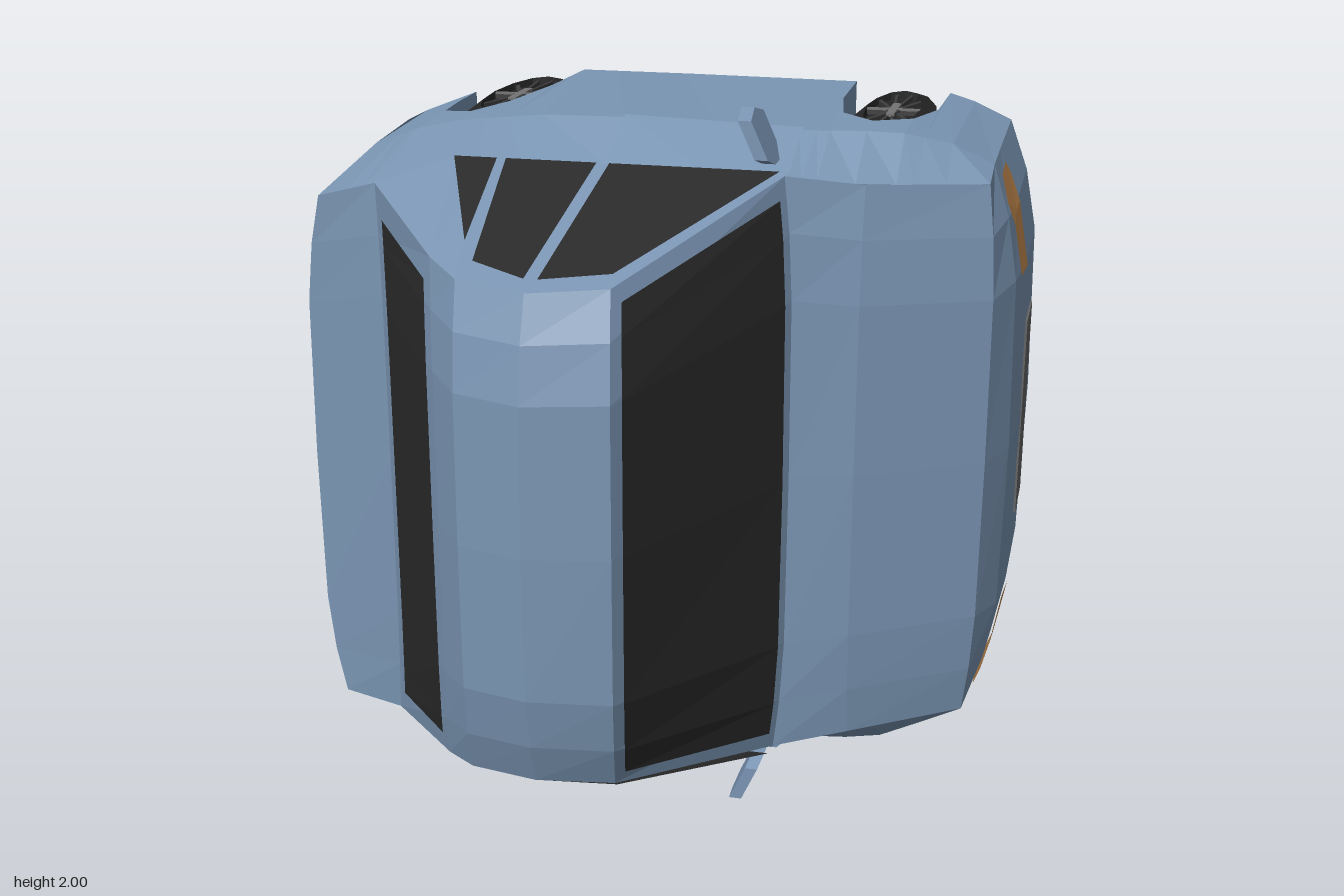
import * as THREE from 'three';

const mat = (name, color) => {
  const m = new THREE.MeshStandardMaterial({ color, flatShading: true, side: THREE.DoubleSide });
  m.name = name;
  return m;
};

// piecewise linear lookup in rows [x, a, b...] with falling x
function lookup(keys, x) {
  let i = 0;
  while (i < keys.length - 2 && x < keys[i + 1][0]) i++;
  const [a, b] = [keys[i], keys[i + 1]];
  const t = Math.min(1, Math.max(0, (x - a[0]) / (b[0] - a[0])));
  return a.map((v, k) => v + (b[k] - v) * t);
}

// triangles to geometry
function geo(tris) {
  const g = new THREE.BufferGeometry();
  g.setAttribute('position', new THREE.Float32BufferAttribute(tris.flat(2), 3));
  g.computeVertexNormals();
  return g;
}
function patch(rows) {
  const t = [];
  for (let i = 0; i < rows.length - 1; i++)
    for (let j = 0; j < rows[i].length - 1; j++) {
      const [a, b, c, d] = [rows[i][j], rows[i + 1][j], rows[i + 1][j + 1], rows[i][j + 1]];
      t.push([a, b, c], [a, c, d]);
    }
  return geo(t);
}
const fan = (c, pts) => geo(pts.map((p, i) => [c, p, pts[(i + 1) % pts.length]]));

// mirrored copy across the car's middle, with corners reversed
function mirrored(g) {
  const m = g.clone(), p = m.attributes.position;
  for (let i = 0; i < p.count; i += 3) {
    const v = [0, 2, 1].map(k => [g.attributes.position.getX(i + k), g.attributes.position.getY(i + k), -g.attributes.position.getZ(i + k)]);
    v.forEach((q, k) => p.setXYZ(i + k, ...q));
  }
  m.computeVertexNormals();
  return m;
}

// centre line from front bottom over the roof to rear bottom: x, height, half width, end bow, edge drop
const SPINE = [
  [0.9, -0.72, 0.82, 0, 0], [1, -0.72, 0.82, 0.1, 0], [1, -0.3, 0.815, 0.1, 0],
  [0.985, -0.1, 0.81, 0.085, 0], [0.93, 0.05, 0.78, 0.03, 0.03], [0.59, 0.24, 0.8, 0, 0.04],
  [0.42, 0.29, 0.83, 0.03, 0.01], [0.1, 0.96, 0.665, 0.02, 0.09], [-0.12, 1, 0.655, 0, 0.08],
  [-0.3, 0.95, 0.665, 0.01, 0.08], [-0.39, 0.84, 0.69, 0.02, 0.07], [-0.69, 0.4, 0.78, 0.01, 0.01],
  [-0.91, 0.4, 0.74, -0.05, 0], [-0.96, -0.03, 0.8, -0.1, 0], [-0.99, -0.3, 0.82, -0.13, 0],
  [-1, -0.46, 0.82, -0.14, 0], [-0.86, -0.46, 0.82, 0, 0],
];
const BEND = [[1, 1], [0.82, 0.45], [0.6, 0.1], [0, 0]];
const across = [-1, -0.82, -0.6, 0, 0.6, 0.82, 1];

// point on the spine surface: segment, position along it, fraction of half width
function skin(seg, t, f, dx = 0, dy = 0) {
  const a = SPINE[seg], b = SPINE[seg + 1] || a;
  const [x, y, w, bow, drop] = a.map((v, k) => v + (b[k] - v) * t);
  const g = lookup(BEND, Math.abs(f))[1];
  return [x - bow * g + dx, y - drop * g + dy, w * f];
}

// flank lines: x, height, half width
const SHOULDER = [[0.9, 0.02, 0.78], [0.59, 0.2, 0.8], [0.39, 0.28, 0.83], [-0.5, 0.29, 0.845], [-0.7, 0.39, 0.78], [-0.86, 0.4, 0.74]];
const CREASE = [[0.9, -0.1, 0.81], [0.79, -0.05, 0.87], [0.64, 0.02, 0.91], [0.4, 0.06, 0.91], [-0.09, 0.09, 0.93],
  [-0.32, 0.08, 0.925], [-0.58, 0.03, 0.89], [-0.71, 0.03, 0.86], [-0.86, -0.03, 0.8]];
const SILL = [[0.9, 0.82], [0.79, 0.87], [0.64, 0.915], [-0.09, 0.92], [-0.45, 0.92], [-0.72, 0.87], [-0.86, 0.82]];
const FLOOR = [[0.9, -0.72], [-0.43, -0.72], [-0.5, -0.66], [-0.73, -0.56], [-0.86, -0.46]];
// lower edge with both wheel arches
const ARCH = [[0.9, -0.72], [0.79, -0.72], [0.715, -0.72], [0.71, -0.42], [0.665, -0.19], [0.565, -0.09], [0.47, -0.19],
  [0.435, -0.42], [0.43, -0.72], [0.39, -0.72], [0.1, -0.72], [-0.09, -0.72], [-0.32, -0.72], [-0.43, -0.72], [-0.445, -0.42],
  [-0.5, -0.18], [-0.59, -0.08], [-0.7, -0.18], [-0.72, -0.36], [-0.73, -0.55], [-0.78, -0.52], [-0.86, -0.46]];

export function createModel() {
  const paint = mat('blue paint', 0x7a95b3), glass = mat('dark glass', 0x2a2a2a), rubber = mat('tyre black', 0x262626);
  const rimGrey = mat('rim grey', 0x3c3c3c), hubGrey = mat('hub grey', 0x747474), plateGrey = mat('plate grey', 0x646464);
  const amber = mat('amber lamp', 0xb9834a), red = mat('red lamp', 0x86332e);

  const car = new THREE.Group();
  car.name = 'car';
  const add = (name, g, m, parent = car) => {
    const mesh = new THREE.Mesh(g, m);
    mesh.name = name;
    parent.add(mesh);
    return mesh;
  };
  const pair = (name, g, m) => {
    add(name + 'Left', g, m);
    add(name + 'Right', mirrored(g), m);
  };

  // nose, bonnet, roof, boot and tail in one skin
  add('bodyTop', patch(SPINE.map((_, i) => across.map(f => skin(i, 0, f)))), paint);

  // flanks with arch linings and floor
  pair('flank', patch(ARCH.map(([x, low]) => {
    const w = lookup(SILL, x)[1], floor = lookup(FLOOR, x)[1];
    return [lookup(SHOULDER, x), lookup(CREASE, x), [x, low, w], [x, low, 0.64], [x, floor, 0.64], [x, floor, 0]];
  })), paint);

  // raised front doors
  pair('door', patch([0.4, 0.16, -0.085].map(x => {
    const s = lookup(SHOULDER, x), c = lookup(CREASE, x);
    return [s, c, [x, -0.63, 0.92]].map(p => [p[0], p[1], p[2] + 0.008]);
  })), paint);

  // cabin sides
  const base = [0.39, 0.1, -0.12, -0.32, -0.42, -0.5];
  pair('cabinSide', patch(base.map((x, i) => [skin(6 + i, 0, 1), lookup(SHOULDER, x)])), paint);

  // side windows
  const onSide = ([x, y]) => [x, y, 0.85 - 0.29 * (y - 0.285)];
  const windows = {
    frontWindow: [[0.38, 0.3], [0.075, 0.83], [-0.1, 0.875], [-0.075, 0.3]],
    rearWindow: [[-0.11, 0.3], [-0.135, 0.875], [-0.285, 0.81], [-0.36, 0.3]],
    quarterWindow: [[-0.385, 0.3], [-0.335, 0.72], [-0.505, 0.3]],
  };
  for (const [name, pts] of Object.entries(windows)) {
    const p = pts.map(onSide);
    const c = [0, 1, 2].map(k => p.reduce((s, q) => s + q[k], 0) / p.length);
    pair(name, fan(c, p), glass);
  }

  // windscreen and rear screen
  const screen = (seg, t0, t1, f, dx) => patch([t0, t1].map(t =>
    [-f, -0.82, -0.6, 0, 0.6, 0.82, f].map(k => skin(seg, t, k, dx, 0.005))));
  add('windscreen', screen(6, 0.05, 0.95, 0.94, 0.006), glass);
  add('rearScreen', screen(10, 0.06, 0.84, 0.91, -0.006), glass);

  // lamps
  const lamp = (seg, pts, dx) => {
    const mean = k => pts.reduce((s, p) => s + p[k], 0) / pts.length;
    return fan(skin(seg, mean(0), mean(1), dx), pts.map(([t, f]) => skin(seg, t, f, dx)));
  };
  pair('headlamp', lamp(2, [[0.1, 0.6], [0.7, 0.6], [0.75, 0.78], [1, 0.87], [0.8, 0.955], [0.2, 0.965], [0, 0.92], [0, 0.82]], 0.008), amber);
  pair('tailLamp', lamp(12, [[0.28, 0.58], [0.8, 0.56], [0.8, 0.82], [0.74, 0.95], [0.28, 0.95], [0.28, 0.82]], -0.008), red);

  // blank number plates
  const frontPlate = add('frontPlate', new THREE.BoxGeometry(0.006, 0.22, 0.6), plateGrey);
  frontPlate.position.set(1, -0.47, 0);
  add('rearPlate', patch([0.02, 0.7].map(t => [-0.37, 0, 0.37].map(f => skin(13, t, f, -0.006)))), plateGrey);

  // door mirrors
  const outline = [[0.17, 0.9], [0.22, 0.86], [0.28, 0.86], [0.34, 0.88], [0.34, 0.98], [0.25, 1], [0.17, 0.98]];
  const mirrorGeo = new THREE.ExtrudeGeometry(
    new THREE.Shape(outline.map(([y, w]) => new THREE.Vector2(w, y))), { depth: 0.035, bevelEnabled: false }).toNonIndexed();
  const mp = mirrorGeo.attributes.position;
  for (let i = 0; i < mp.count; i++) {
    const w = mp.getX(i);
    mp.setXYZ(i, 0.345 - (w - 0.86) * 0.45 - mp.getZ(i) + 0.02, mp.getY(i), w);
  }
  // axes swapped by a turn, so corner order stays outward
  mirrorGeo.computeVertexNormals();
  pair('doorMirror', mirrorGeo, paint);

  // wheels, stretched in height
  const tyre = new THREE.LatheGeometry([[0, -0.105], [1, -0.105], [1, 0.075], [0.68, 0.105], [0.64, 0.085], [0, 0.085]]
    .map(p => new THREE.Vector2(...p)), 12).rotateX(Math.PI / 2);
  for (const x of [0.565, -0.59])
    for (const side of [1, -1]) {
      const wheel = new THREE.Group();
      wheel.name = (x > 0 ? 'front' : 'rear') + 'Wheel' + (side > 0 ? 'Left' : 'Right');
      add('tyre', tyre, rubber, wheel);
      for (let i = 0; i < 10; i++) {
        const a = i * Math.PI / 5;
        const spoke = new THREE.BoxGeometry(0.5, 0.07, 0.012).translate(0.39, 0, 0.091).rotateZ(a);
        add('spoke', spoke, rimGrey, wheel);
      }
      add('hub', new THREE.CylinderGeometry(0.17, 0.17, 0.02, 12).rotateX(Math.PI / 2).translate(0, 0, 0.09), rimGrey, wheel);
      add('hubBarAcross', new THREE.BoxGeometry(1.3, 0.03, 0.01).translate(0, 0, 0.098), hubGrey, wheel);
      add('hubBarUpright', new THREE.BoxGeometry(0.2, 0.4, 0.01).translate(0, 0, 0.098), hubGrey, wheel);
      wheel.scale.set(0.12, 0.443, 1);
      wheel.position.set(x, -0.557, side * 0.765);
      if (side < 0) wheel.rotation.y = Math.PI;
      car.add(wheel);
    }

  // the car lies on its side, roof towards the front
  car.rotation.x = Math.PI / 2;
  car.position.y = 1;
  const model = new THREE.Group();
  model.name = 'model';
  model.add(car);
  return model;
}
